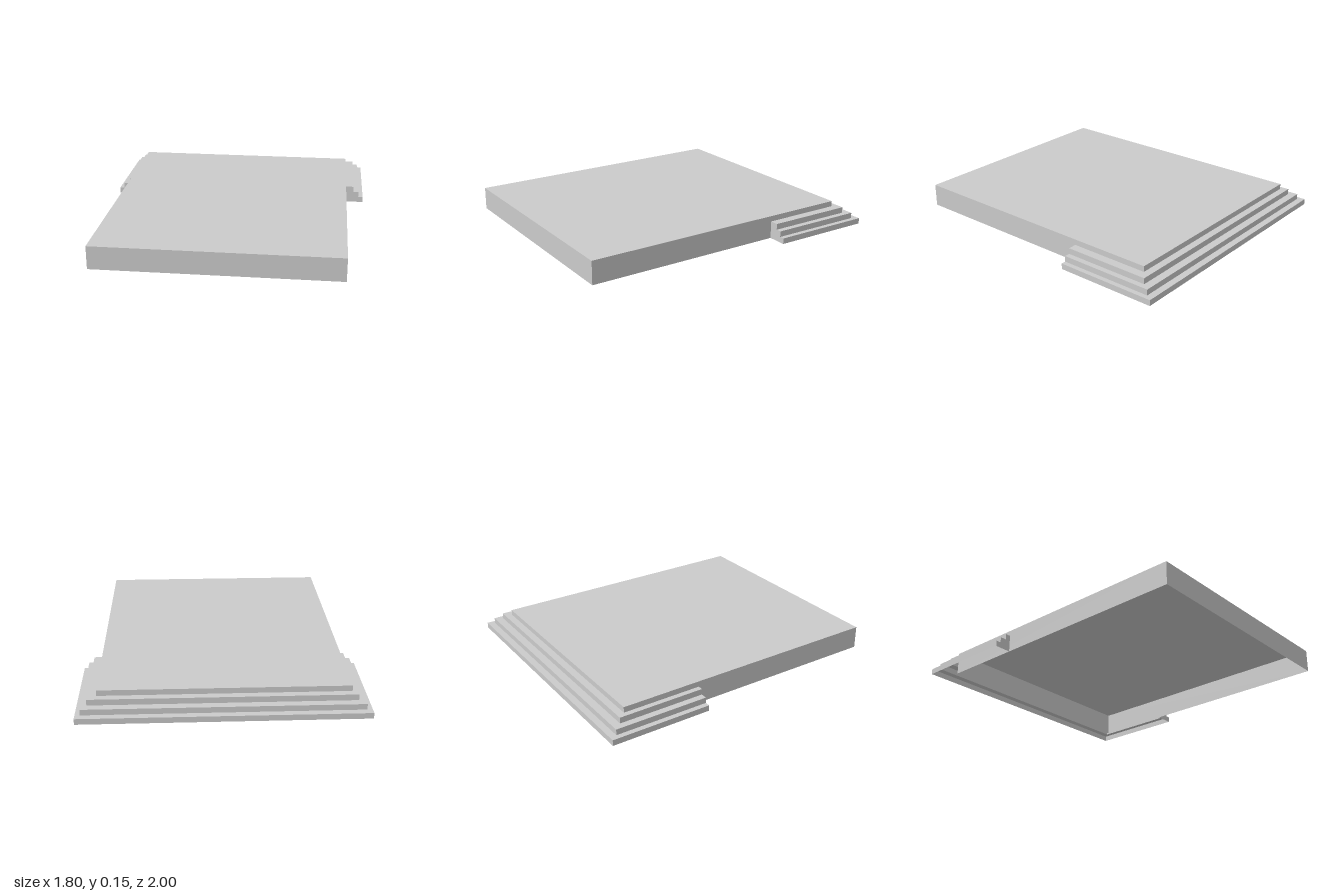
import * as THREE from 'three';

const material = new THREE.MeshStandardMaterial({ color: 0xcccccc, flatShading: true, side: THREE.DoubleSide });

const FRONT = 1, STEP_END = -0.325;
// Outline of each level, from the lowest step up to the platform
const levels = [
  { left: 0.9, right: -0.9, back: -1, top: 0.038 },
  { left: 0.868, right: -0.866, back: -0.956, top: 0.076 },
  { left: 0.831, right: -0.823, back: -0.905, top: 0.115 },
  { left: 0.774, right: -0.789, back: -0.858, top: 0.152 },
];

// Corners of a level running left front, left back, right back, right front
const outline = (l, front) => [[l.left, front], [l.left, l.back], [l.right, l.back], [l.right, front]];

function quadMesh(name, quads) {
  const positions = quads.flatMap(([a, b, c, d]) => [a, b, c, a, c, d].flat());
  const geometry = new THREE.BufferGeometry();
  geometry.setAttribute('position', new THREE.Float32BufferAttribute(positions, 3));
  geometry.computeVertexNormals();
  const mesh = new THREE.Mesh(geometry, material);
  mesh.name = name;
  return mesh;
}

// Upright quad between two plan points
const wall = (a, b, y0, y1) => [[a[0], y0, a[1]], [b[0], y0, b[1]], [b[0], y1, b[1]], [a[0], y1, a[1]]];
// Level quad through four plan points
const flat = (points, y) => points.map(([x, z]) => [x, y, z]);

// Stair-shaped end of the steps on one side
function stepEnd(side) {
  const inner = levels[3][side];
  const shape = new THREE.Shape();
  shape.moveTo(inner, 0);
  let y = 0;
  for (const l of levels.slice(0, 3)) {
    shape.lineTo(l[side], y);
    shape.lineTo(l[side], l.top);
    y = l.top;
  }
  shape.lineTo(inner, y);
  const mesh = new THREE.Mesh(new THREE.ShapeGeometry(shape), material);
  mesh.position.z = STEP_END;
  mesh.name = side + 'StepEnd';
  return mesh;
}

export function createModel() {
  const model = new THREE.Group();
  model.name = 'steppedPlatform';

  // Platform: four walls and a top, open underneath
  const deck = levels[3];
  const corners = outline(deck, FRONT);
  const walls = corners.map((p, i) => wall(p, corners[(i + 1) % 4], 0, deck.top));
  model.add(quadMesh('platform', [...walls, flat(corners, deck.top)]));

  // Steps: thin risers and treads wrapping the back and both sides
  const steps = new THREE.Group();
  steps.name = 'steps';
  for (let i = 0; i < 3; i++) {
    const outer = outline(levels[i], STEP_END);
    const inner = outline(levels[i + 1], STEP_END);
    const base = i ? levels[i - 1].top : 0;
    const risers = [], treads = [];
    for (let k = 0; k < 3; k++) {
      risers.push(wall(outer[k], outer[k + 1], base, levels[i].top));
      treads.push(flat([outer[k], outer[k + 1], inner[k + 1], inner[k]], levels[i].top));
    }
    steps.add(quadMesh('riser' + (i + 1), risers), quadMesh('tread' + (i + 1), treads));
  }
  steps.add(stepEnd('left'), stepEnd('right'));
  model.add(steps);

  return model;
}
